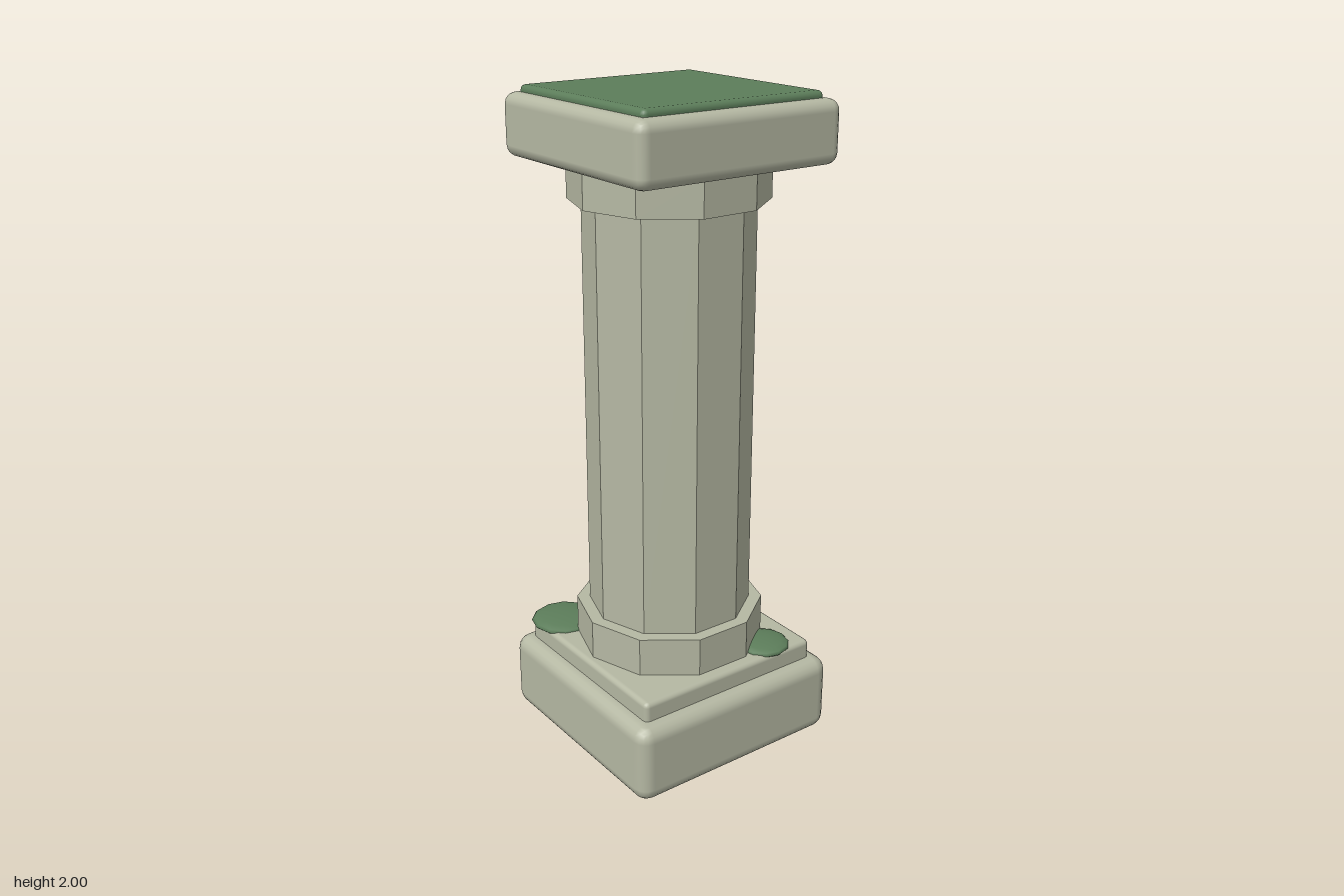
import * as THREE from 'three';
import { RoundedBoxGeometry } from 'three/addons/geometries/RoundedBoxGeometry.js';

export function createModel() {
  const model = new THREE.Group();
  model.name = 'mossyPillar';

  const stone = new THREE.MeshStandardMaterial({ color: 0xb5b8a3 });
  stone.name = 'stone';
  const facetedStone = stone; // drums get their facets from split normals
  const moss = new THREE.MeshStandardMaterial({ color: 0x5c7d5a });
  moss.name = 'moss';

  const add = (name, geometry, material, x, y, z) => {
    const mesh = new THREE.Mesh(geometry, material);
    mesh.name = name;
    mesh.position.set(x, y, z);
    model.add(mesh);
  };

  // Square block with softened edges, from y0 to y1
  const slab = (name, width, y0, y1, radius, material) =>
    add(name, new RoundedBoxGeometry(width, y1 - y0, width, 2, radius), material, 0, (y0 + y1) / 2, 0);

  // Ten-sided flat-faced drum, from y0 to y1
  const drum = (name, radius, y0, y1) => {
    const geometry = new THREE.CylinderGeometry(radius, radius, y1 - y0, 10).toNonIndexed();
    geometry.computeVertexNormals();
    add(name, geometry, facetedStone, 0, (y0 + y1) / 2, 0);
  };

  // Flattened cushion of moss
  const mossPatch = (name, radius, x, z) => {
    const geometry = new THREE.SphereGeometry(radius, 12, 8);
    geometry.scale(1, 0.018 / radius, 1);
    add(name, geometry, moss, x, 0.308, z);
  };

  // Plinth
  slab('base', 0.724, 0, 0.25, 0.045, stone);
  slab('baseStep', 0.63, 0.2, 0.31, 0.016, stone);

  // Column
  drum('lowerCollar', 0.29, 0.3, 0.43);
  drum('shaft', 0.25, 0.42, 1.71);
  drum('upperCollar', 0.29, 1.695, 1.805);

  // Capital and its moss cover
  slab('capital', 0.676, 1.8, 1.98, 0.034, stone);
  slab('mossCover', 0.6, 1.96, 2, 0.016, moss);

  // Moss on opposite corners of the step
  mossPatch('frontMossPatch', 0.105, -0.26, 0.23);
  mossPatch('backMossPatch', 0.085, 0.24, -0.185);

  return model;
}
